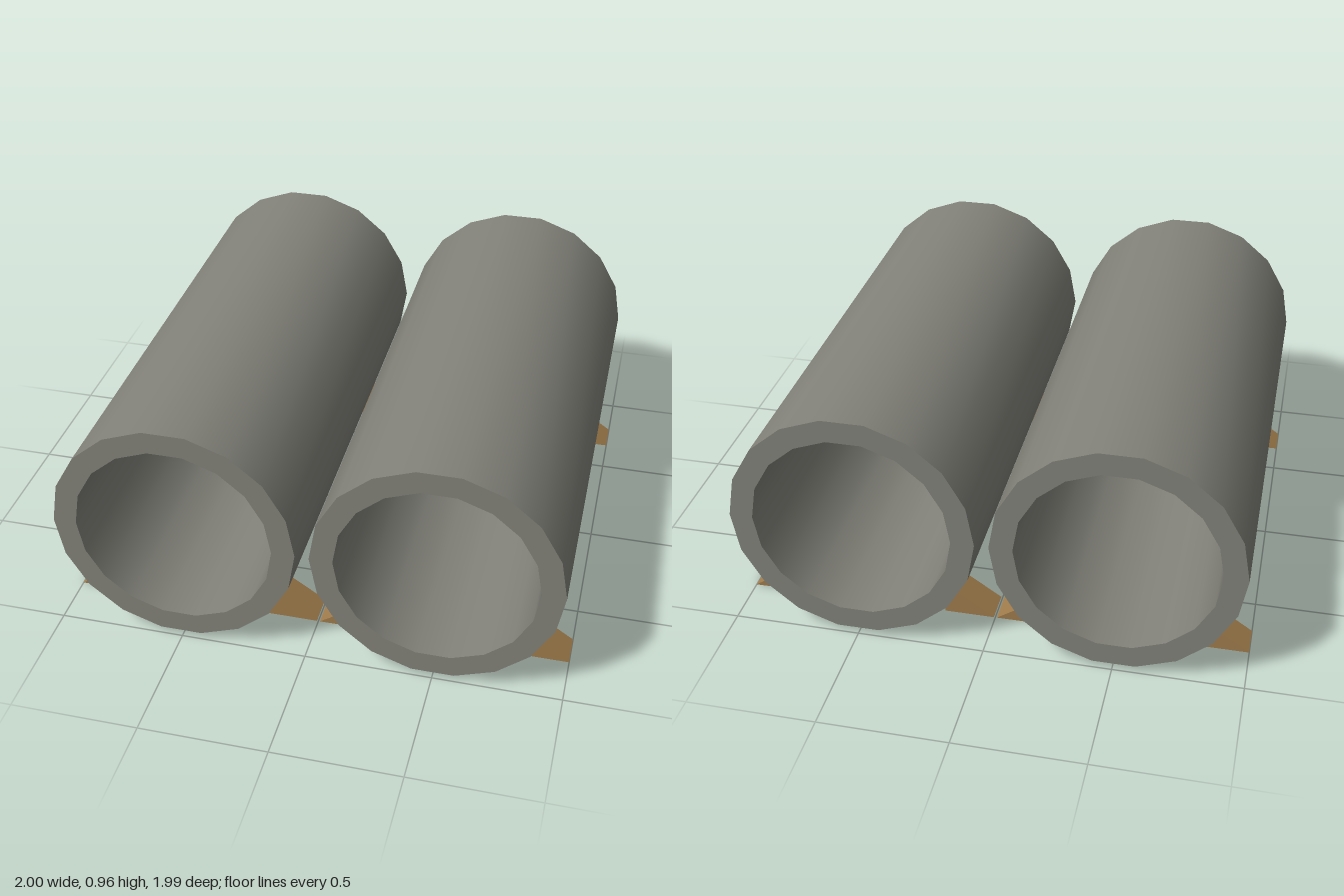
import * as THREE from 'three';
import { mergeGeometries } from 'three/addons/utils/BufferGeometryUtils.js';

const OUTER = 0.476, INNER = 0.386, HALF = 0.996, AXIS_Y = 0.495, SIDES = 18;

// Hollow tube along z: each profile edge is its own lathe, so the rims stay sharp
function pipeGeometry() {
  const profile = [[OUTER, -HALF], [OUTER, HALF], [INNER, HALF], [INNER, -HALF]]
    .map(([x, y]) => new THREE.Vector2(x, y));
  const bands = profile.map((p, i) =>
    new THREE.LatheGeometry([p, profile[(i + 1) % 4]], SIDES, Math.PI / 2));
  return mergeGeometries(bands).rotateX(Math.PI / 2);
}

// Triangular chock: upright face at x = 0, slope running down towards +x * side
function chockGeometry(side) {
  const width = 0.197 * side, height = 0.133, depth = 0.13;
  const shape = new THREE.Shape();
  shape.moveTo(0, 0);
  shape.lineTo(width, 0);
  shape.lineTo(0, height);
  shape.closePath();
  return new THREE.ExtrudeGeometry(shape, { depth, bevelEnabled: false })
    .translate(0, 0, -depth / 2);
}

export function createModel() {
  const model = new THREE.Group();
  model.name = 'chockedPipes';
  const concrete = new THREE.MeshStandardMaterial({ color: 0x82827a });
  const wood = new THREE.MeshStandardMaterial({ color: 0xa07c4c });
  const pipeGeo = pipeGeometry();

  for (const [label, x] of [['right', -0.503], ['left', 0.503]]) {
    const unit = new THREE.Group();
    unit.name = label + 'PipeUnit';
    unit.position.x = x;
    model.add(unit);

    const pipe = new THREE.Mesh(pipeGeo, concrete);
    pipe.name = label + 'Pipe';
    pipe.position.set(-0.002, AXIS_Y, 0);
    unit.add(pipe);

    // Two pairs of chocks wedged under each pipe
    for (const side of [-1, 1]) {
      const geo = chockGeometry(side);
      for (const end of [-1, 1]) {
        const chock = new THREE.Mesh(geo, wood);
        chock.name = label + 'Pipe' + (end > 0 ? 'Front' : 'Back') + (side > 0 ? 'Left' : 'Right') + 'Chock';
        chock.position.set(0.3 * side, 0, 0.731 * end);
        unit.add(chock);
      }
    }
  }
  return model;
}
